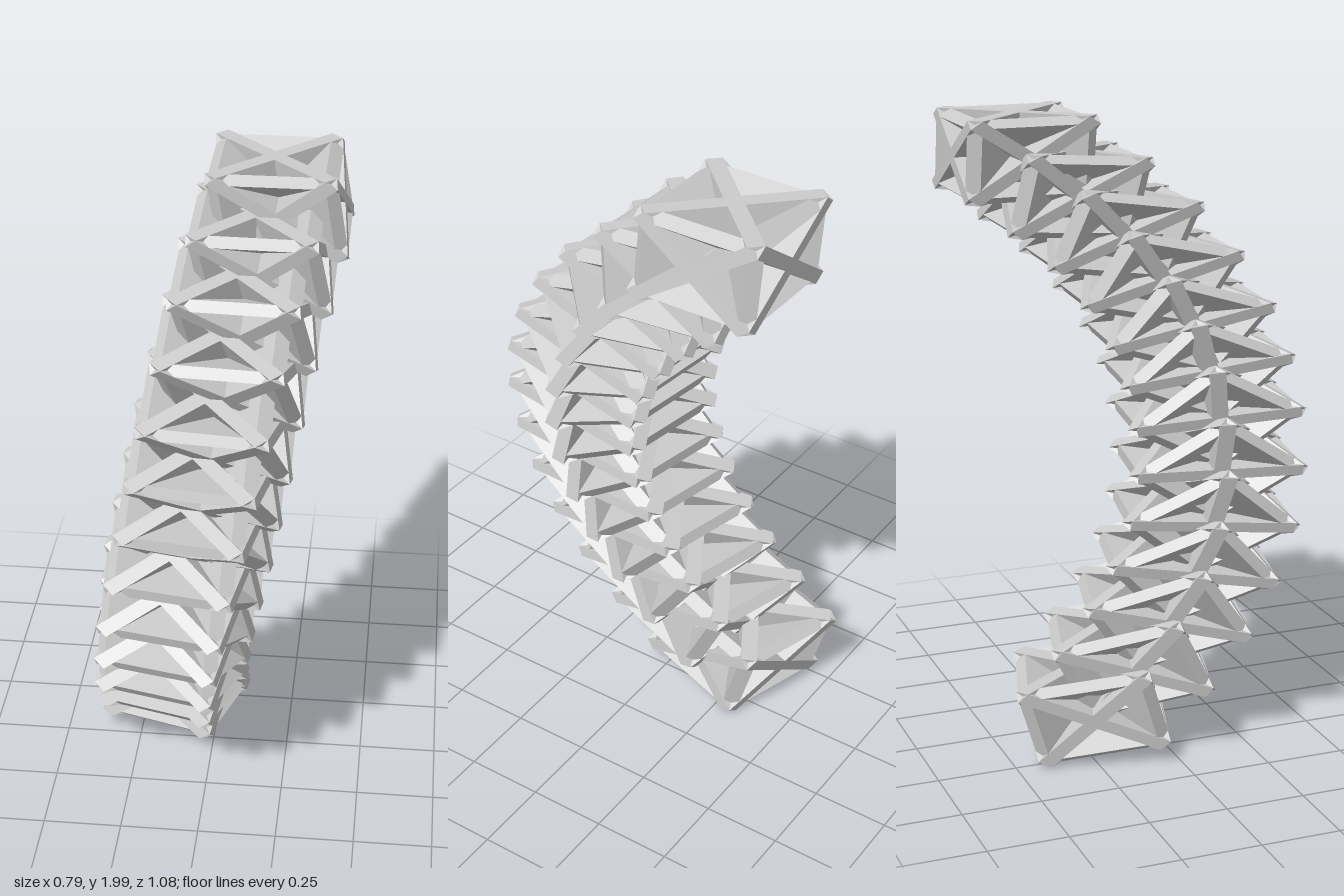
import * as THREE from 'three';
import { mergeGeometries } from 'three/addons/utils/BufferGeometryUtils.js';

const COUNT = 13;
const EDGE = 0.18;                  // bevel left by a slab along each block edge
const THICK = EDGE * Math.SQRT2;
const SPAN = 2 * Math.SQRT2 - THICK;

// One unit block: six crossing diagonal slabs, two along each axis
function blockGeometry() {
  const slabs = [];
  const axes = [
    new THREE.Matrix4(),
    new THREE.Matrix4().makeRotationZ(Math.PI / 2),
    new THREE.Matrix4().makeRotationY(Math.PI / 2),
  ];
  for (const axis of axes) {
    for (const side of [-1, 1]) {
      const slab = new THREE.BoxGeometry(2, SPAN, THICK);
      slab.rotateX(side * Math.PI / 4);
      slabs.push(slab.applyMatrix4(axis));
    }
  }
  return mergeGeometries(slabs);
}

export function createModel() {
  const group = new THREE.Group();
  group.name = 'twistedColumn';
  const material = new THREE.MeshStandardMaterial({ color: 0xcccccc, flatShading: true });
  const block = blockGeometry();

  // Arched centre line from the top block to the bottom block
  const path = new THREE.CatmullRomCurve3([
    [0.178, 1.87, -0.335], [0.1, 1.63, -0.05], [0.035, 1.345, 0.15],
    [-0.022, 1.055, 0.225], [-0.085, 0.735, 0.19], [-0.122, 0.44, 0.04],
    [-0.145, 0.165, -0.21],
  ].map((p) => new THREE.Vector3(...p)));

  // Each block leans forward and turns a little more than the one above
  for (let i = 0; i < COUNT; i++) {
    const lean = THREE.MathUtils.degToRad(6.6 * i);
    const turn = THREE.MathUtils.degToRad(1.4 * i);
    const c = Math.cos(lean);
    const s = Math.sin(lean);
    const matrix = new THREE.Matrix4().makeBasis(
      new THREE.Vector3(0.2 * Math.cos(turn), 0, 0.2 * Math.sin(turn)),
      new THREE.Vector3(-0.022 - 0.0025 * i, 0.13 * c, 0.205 * s),
      new THREE.Vector3(0, -0.13 * s, 0.205 * c),
    ).setPosition(path.getPoint(i / (COUNT - 1)));
    const mesh = new THREE.Mesh(block.clone().applyMatrix4(matrix), material);
    mesh.name = `block${i + 1}`;
    group.add(mesh);
  }
  return group;
}
